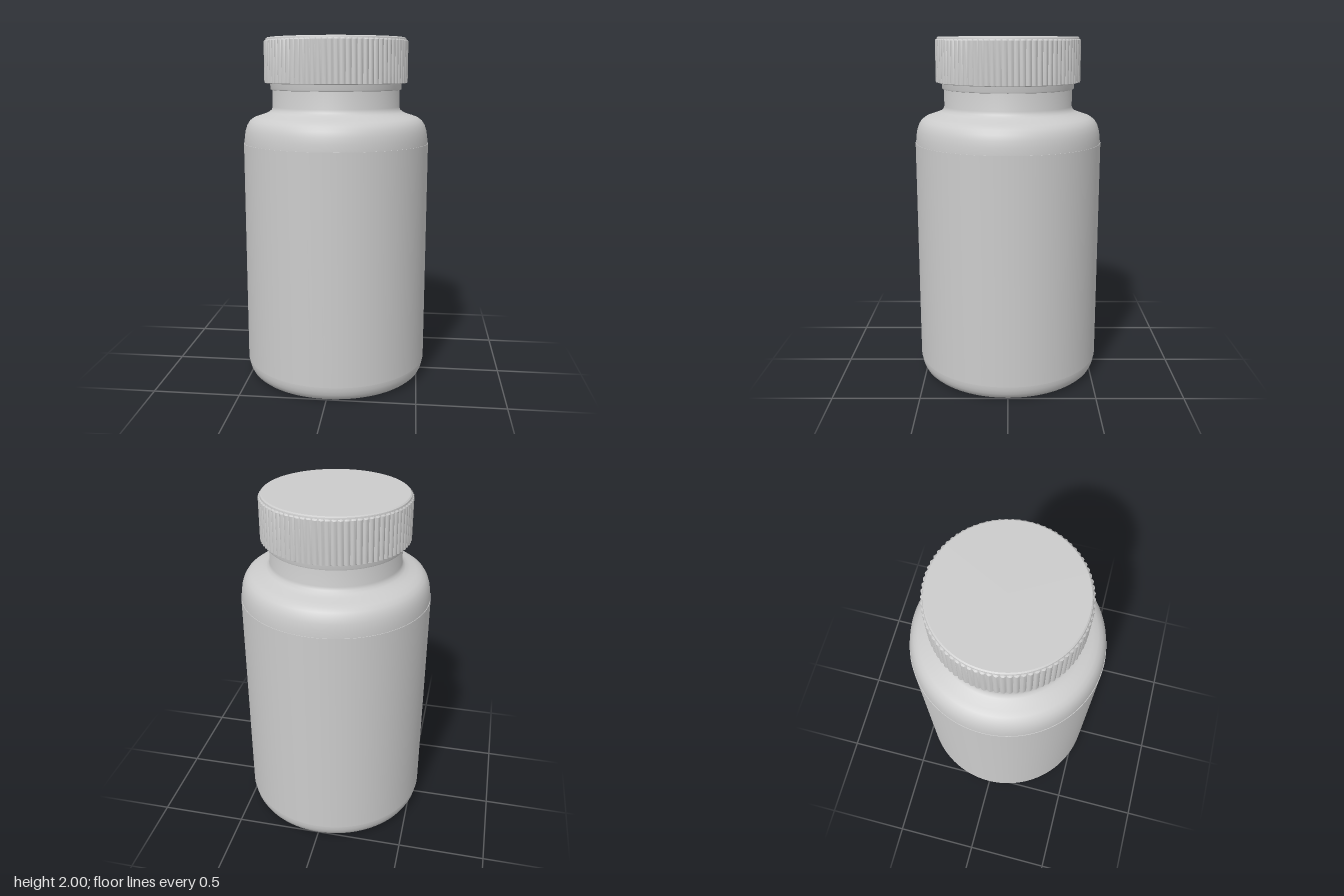
import * as THREE from 'three';
import { toCreasedNormals } from 'three/addons/utils/BufferGeometryUtils.js';

const material = new THREE.MeshStandardMaterial({ color: 0xcccccc });

// Revolve [radius, height] points, listed from bottom to top of the outside
function revolve(points, segments) {
  return new THREE.LatheGeometry(points.map(([r, y]) => new THREE.Vector2(r, y)), segments);
}

function addPart(group, name, geometry, crease = 0.6) {
  const mesh = new THREE.Mesh(toCreasedNormals(geometry, crease), material);
  mesh.name = name;
  group.add(mesh);
}

export function createModel() {
  const group = new THREE.Group();
  group.name = 'bottle';

  // Body with rounded foot, rounded shoulder and neck
  addPart(group, 'body', revolve([
    [0, 0], [0.485, 0], [0.503, 0.006], [0.519, 0.02], [0.53, 0.042], [0.536, 0.065], [0.538, 0.09],
    [0.538, 1.4], [0.535, 1.44], [0.529, 1.475], [0.519, 1.505], [0.503, 1.53], [0.48, 1.547],
    [0.45, 1.558], [0.415, 1.569], [0.39, 1.58], [0.376, 1.593], [0.37, 1.61],
    [0.37, 1.9], [0, 1.9],
  ], 96));

  // Thin label sleeve around the straight wall
  addPart(group, 'label', revolve([
    [0.537, 0.09], [0.541, 0.09], [0.541, 1.4], [0.537, 1.4],
  ], 96));

  // Tamper ring just below the cap
  addPart(group, 'neckRing', revolve([
    [0.368, 1.705], [0.38, 1.708], [0.382, 1.715], [0.382, 1.8], [0.368, 1.8],
  ], 96));

  // Cap shell, hollow underneath
  addPart(group, 'cap', revolve([
    [0, 1.92], [0.392, 1.92], [0.392, 1.745], [0.402, 1.743], [0.407, 1.75],
    [0.407, 1.985], [0.404, 1.995], [0.397, 2], [0, 2],
  ], 96));

  // Grip: a scalloped band of rounded ribs around the cap
  const ribs = 80, steps = 6;
  const grip = revolve([
    [0.4, 1.747], [0.407, 1.747], [0.407, 1.754], [0.407, 1.98], [0.405, 1.988], [0.4, 1.992],
  ], ribs * steps);
  const pos = grip.attributes.position;
  for (let i = 0; i < pos.count; i++) {
    const x = pos.getX(i), z = pos.getZ(i), r = Math.hypot(x, z);
    if (r < 0.406) continue;
    const k = (r + 0.009 * Math.abs(Math.sin(Math.atan2(z, x) * ribs / 2))) / r;
    pos.setX(i, x * k);
    pos.setZ(i, z * k);
  }
  addPart(group, 'capGrip', grip);

  return group;
}
